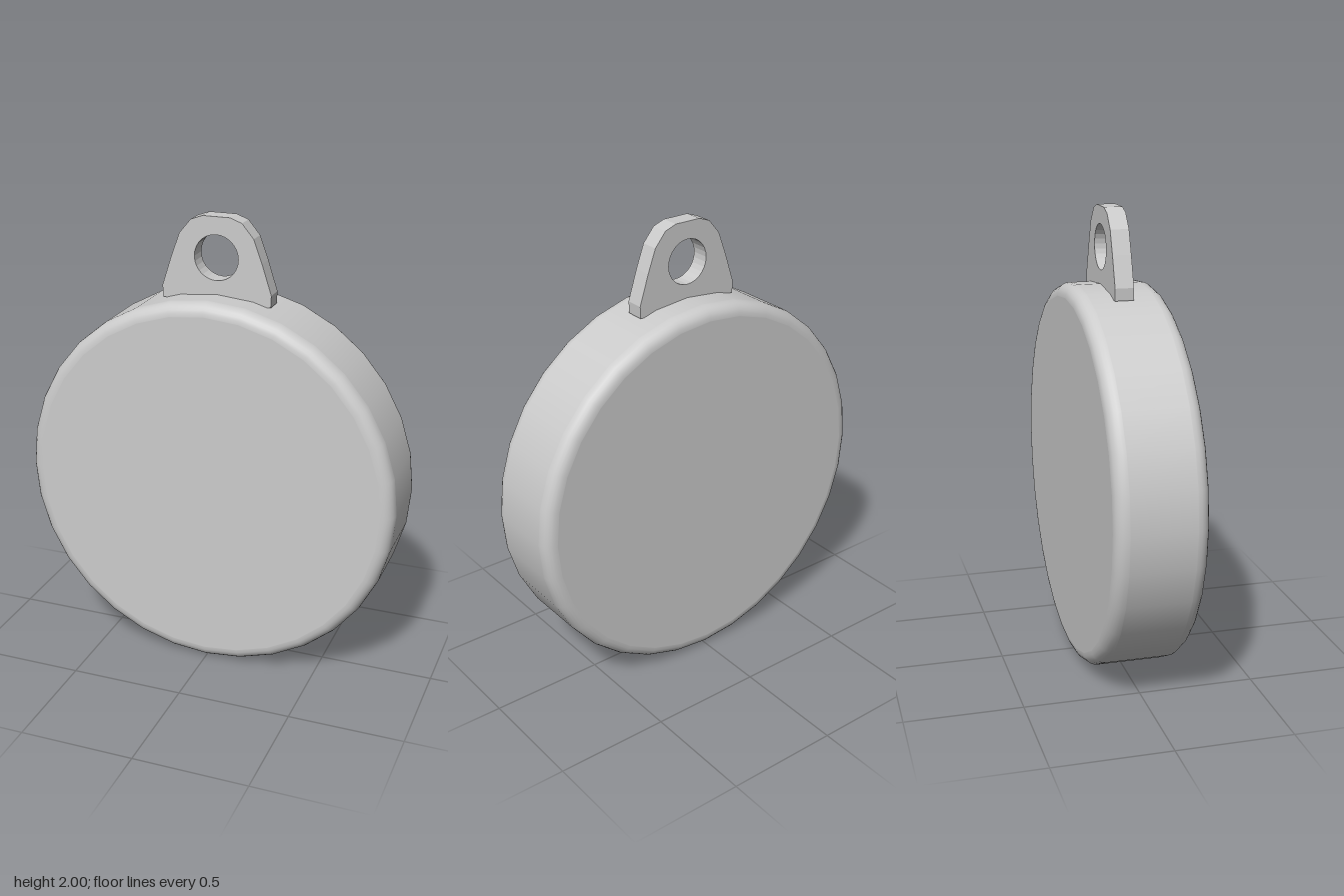
import * as THREE from 'three';

const R = 0.836;      // disc radius, also the height of its centre
const HALF = 0.193;   // half of the disc thickness
const FILLET = 0.055; // rounded rim
const TAB = 0.08;     // tab thickness

export function createModel() {
  const group = new THREE.Group();
  const material = new THREE.MeshStandardMaterial({ color: 0xcccccc });

  // Half profile of the disc from the middle of the rim to the front cap;
  // support points beside the fillet keep the flat areas evenly shaded.
  const half = [[R, HALF - FILLET - 0.002]];
  for (let i = 0; i <= 6; i++) {
    const a = (i / 6) * Math.PI / 2;
    half.push([R - FILLET + FILLET * Math.cos(a), HALF - FILLET + FILLET * Math.sin(a)]);
  }
  half.push([R - FILLET - 0.002, HALF], [0, HALF]);
  const back = half.map(([r, z]) => [r, -z]).reverse();
  const profile = [...back, ...half].map(([r, z]) => new THREE.Vector2(r, z));
  const discGeometry = new THREE.LatheGeometry(profile, 32);
  discGeometry.rotateX(Math.PI / 2);
  const disc = new THREE.Mesh(discGeometry, material);
  disc.name = 'disc';
  disc.position.y = R;
  group.add(disc);

  // Hanging tab: tapered outline with a rounded top, mirrored left to right
  const side = [
    [0.24, 1.638], [0.242, 1.69], [0.2, 1.82], [0.163, 1.92],
    [0.112, 1.981], [0.06, 2.0],
  ];
  const outline = [...side, ...side.map(([x, y]) => [-x, y]).reverse()];
  const shape = new THREE.Shape(outline.map(([x, y]) => new THREE.Vector2(x, y)));

  // Round eyelet
  const hole = new THREE.Path();
  hole.absarc(0, 1.828, 0.097, 0, Math.PI * 2, true);
  shape.holes.push(hole);
  const tabGeometry = new THREE.ExtrudeGeometry(shape, {
    depth: TAB, bevelEnabled: false, curveSegments: 14,
  });
  tabGeometry.translate(0, 0, -TAB / 2);
  const tab = new THREE.Mesh(tabGeometry, material);
  tab.name = 'hangingTab';
  group.add(tab);

  return group;
}
